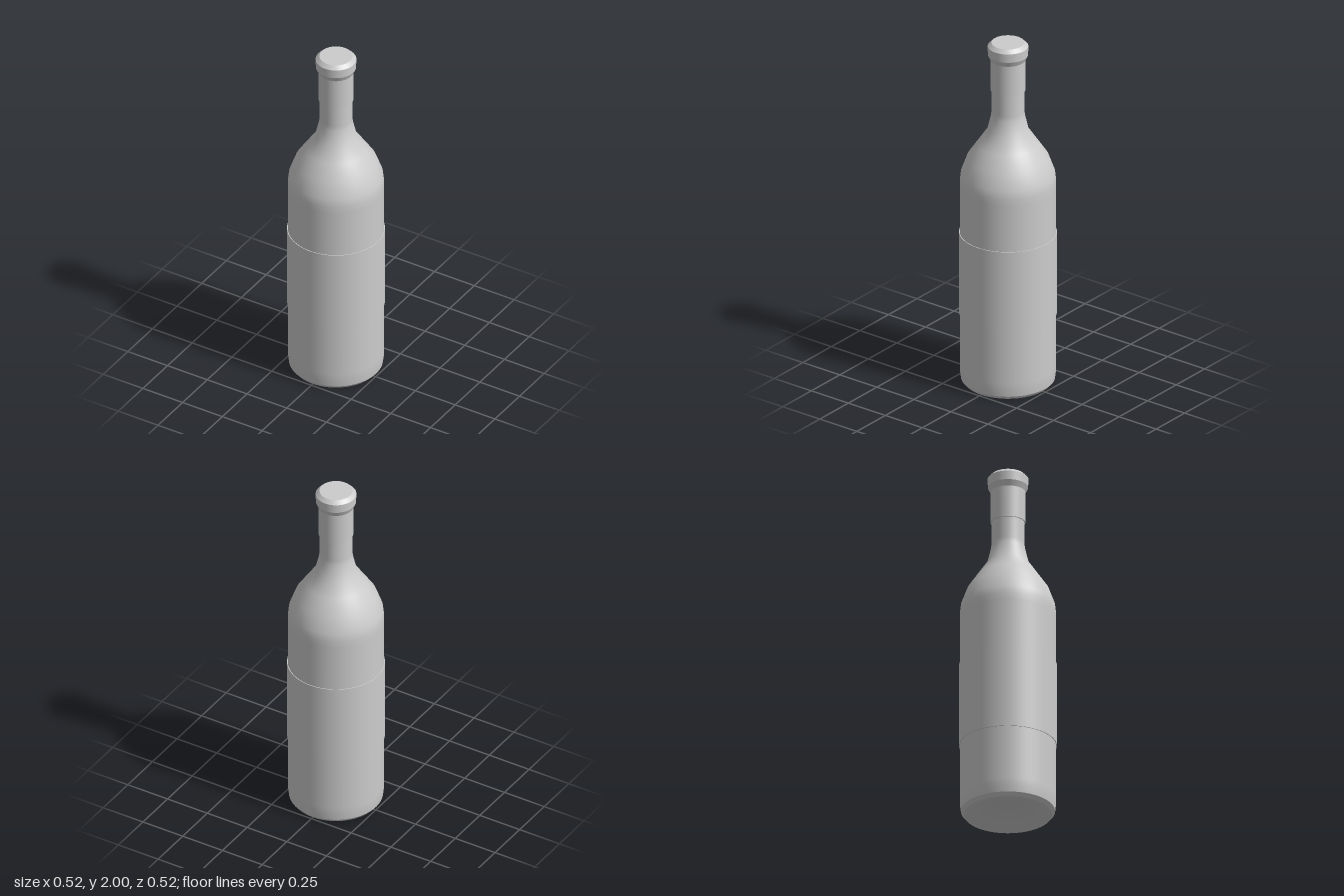
import * as THREE from 'three';

const grey = new THREE.MeshStandardMaterial({ color: 0xcccccc });
grey.name = 'plain grey';

// Each profile runs from bottom to top, as [radius, height]
function turned(name, profile) {
  const points = profile.map(([r, y]) => new THREE.Vector2(r, y));
  const mesh = new THREE.Mesh(new THREE.LatheGeometry(points, 64), grey);
  mesh.name = name;
  return mesh;
}

export function createModel() {
  const bottle = new THREE.Group();
  bottle.name = 'bottle';

  // Hollow underside and the bevelled foot
  bottle.add(turned('punt', [[0, 0.08], [0.08, 0.07], [0.16, 0.04], [0.235, 0]]));
  bottle.add(turned('foot', [[0.235, 0], [0.252, 0.02]]));

  // Straight body, rounded shoulder and slim neck
  bottle.add(turned('body', [
    [0.252, 0.02], [0.257, 0.06], [0.258, 0.1], [0.258, 1.15], [0.257, 1.19], [0.252, 1.235],
    [0.219, 1.325], [0.165, 1.405], [0.111, 1.485], [0.091, 1.57], [0.088, 1.6], [0.088, 1.74],
  ]));

  // Slightly raised label band around the body
  bottle.add(turned('labelLowerEdge', [[0.257, 0.405], [0.262, 0.405]]));
  bottle.add(turned('label', [[0.262, 0.405], [0.262, 0.88]]));
  bottle.add(turned('labelUpperEdge', [[0.262, 0.88], [0.257, 0.88]]));

  // Foil sleeve over the neck
  bottle.add(turned('foilEdge', [[0.087, 1.72], [0.093, 1.72]]));
  bottle.add(turned('foil', [[0.093, 1.72], [0.094, 1.9]]));

  // Lip with bevels and a closed top
  bottle.add(turned('lipUnderside', [[0.094, 1.9], [0.108, 1.93]]));
  bottle.add(turned('lip', [[0.108, 1.93], [0.109, 1.98]]));
  bottle.add(turned('lipBevel', [[0.109, 1.98], [0.089, 2]]));
  bottle.add(turned('cap', [[0.089, 2], [0, 2]]));

  return bottle;
}
